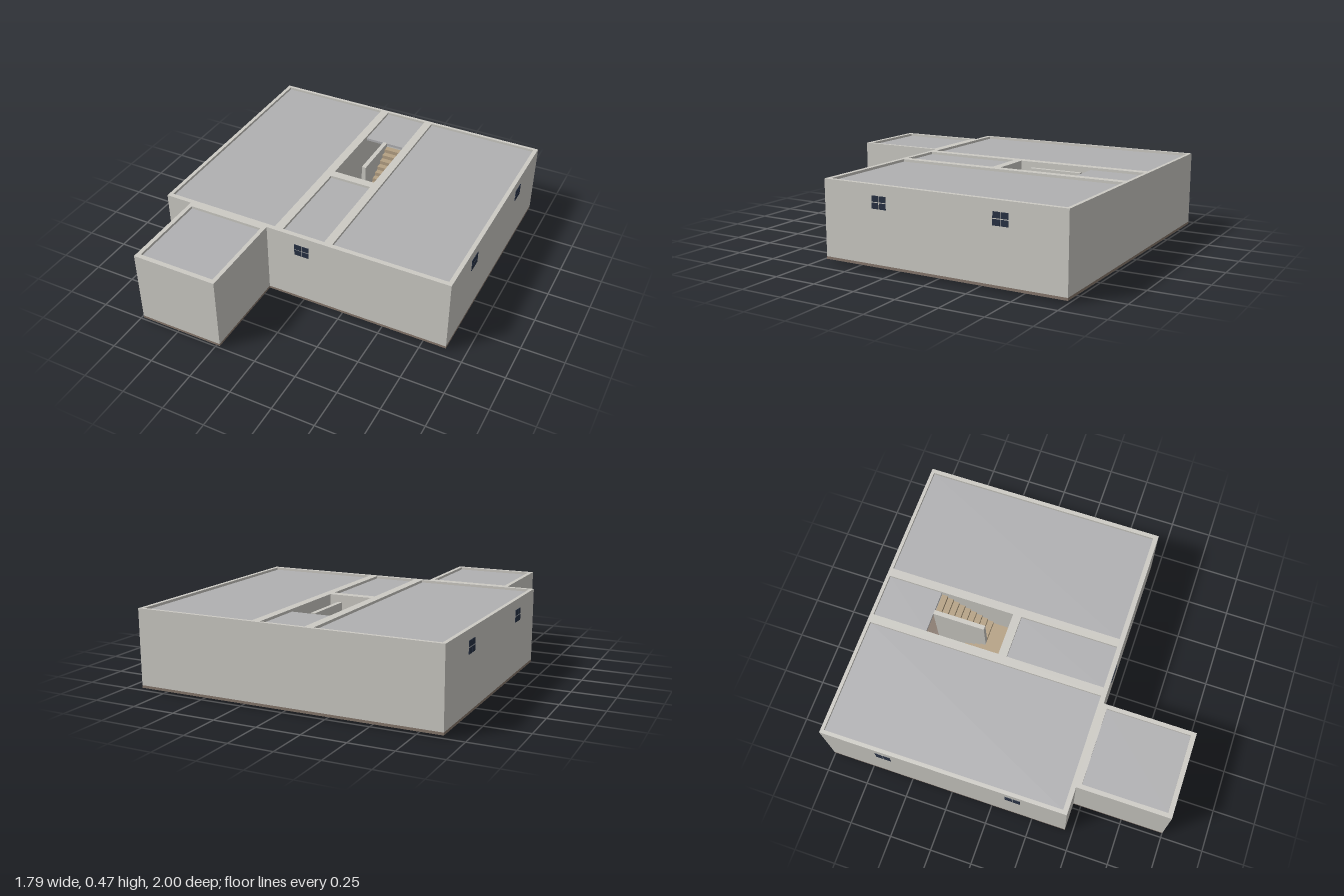
import * as THREE from 'three';

const mat = (color) => new THREE.MeshStandardMaterial({ color });
const wallMat = mat(0xcccac4);
const roofMat = mat(0xb0b0b2);
const slabMat = mat(0x86776c);
const stairMat = mat(0xb4a083);
const glassMat = mat(0x263043);

// Box given by its min and max corners
function box(name, material, [x0, x1], [y0, y1], [z0, z1]) {
  const mesh = new THREE.Mesh(new THREE.BoxGeometry(x1 - x0, y1 - y0, z1 - z0), material);
  mesh.position.set((x0 + x1) / 2, (y0 + y1) / 2, (z0 + z1) / 2);
  mesh.name = name;
  return mesh;
}

// Floor plan outline (x, z): main block with the front annex
const outline = [
  [-0.89, -1], [0.89, -1], [0.89, 0.455], [-0.22, 0.455],
  [-0.22, 1], [-0.727, 1], [-0.727, 0.455], [-0.89, 0.455],
];
const rect = ([x0, x1, z0, z1]) => [[x0, z0], [x1, z0], [x1, z1], [x0, z1]];

// Extrudes a plan with rectangular holes between two heights
function planSolid(name, material, holes, y0, y1) {
  const toPoints = (list) => list.map(([x, z]) => new THREE.Vector2(x, z));
  const shape = new THREE.Shape(toPoints(outline));
  for (const h of holes) shape.holes.push(new THREE.Path(toPoints(rect(h))));
  const geo = new THREE.ExtrudeGeometry(shape, { depth: y1 - y0, bevelEnabled: false });
  geo.rotateX(Math.PI / 2).translate(0, y1, 0);
  const mesh = new THREE.Mesh(geo, material);
  mesh.name = name;
  return mesh;
}

// Four-pane window facing +z, with a pale frame and cross
function makeWindow(name, x, z, turn) {
  const g = new THREE.Group();
  g.name = name;
  g.add(box('windowFrame', wallMat, [-0.042, 0.042], [-0.033, 0.033], [-0.004, 0.001]));
  for (const sx of [-1, 1]) for (const sy of [-1, 1]) {
    const pane = box('windowPane', glassMat, [-0.021, 0.021], [-0.0165, 0.0165], [-0.004, 0.003]);
    pane.position.x = sx * 0.0235;
    pane.position.y = sy * 0.019;
    g.add(pane);
  }
  g.position.set(x, 0.37, z);
  g.rotation.y = turn;
  return g;
}

export function createModel() {
  const model = new THREE.Group();
  model.name = 'building';

  // Rooms as [x0, x1, z0, z1]
  const leftRoom = [0.18, 0.865, -0.98, 0.427];
  const rightRoom = [-0.868, -0.182, -0.98, 0.427];
  const hall = [-0.13, 0.13, -0.98, -0.208];
  const frontHall = [-0.13, 0.13, -0.157, 0.427];
  const annex = [-0.702, -0.244, 0.481, 0.972];

  // Floor slab with the stairwell opening, and the walls
  model.add(planSolid('floorSlab', slabMat, [[-0.175, 0.175, -0.66, -0.21]], 0.015, 0.03));
  model.add(planSolid('walls', wallMat, [leftRoom, rightRoom, hall, frontHall, annex], 0.03, 0.465));

  // Roof panels set just below the wall tops; the stairwell stays open
  const panels = {
    leftRoof: leftRoom, rightRoof: rightRoom, frontHallRoof: frontHall, annexRoof: annex,
    backHallRoof: [-0.13, 0.13, -0.98, -0.654],
  };
  for (const [name, [x0, x1, z0, z1]] of Object.entries(panels)) {
    model.add(box(name, roofMat, [x0, x1], [0.435, 0.45], [z0, z1]));
  }

  // Two-flight staircase turning on a landing
  const stairs = new THREE.Group();
  stairs.name = 'staircase';
  const steps = 9, rise = 0.0225, run = 0.0348, zBack = -0.653, zLanding = zBack + steps * run;
  for (let i = 0; i < steps; i++) {
    const zLow = zBack + i * run;
    stairs.add(box('lowerStep', stairMat, [-0.155, -0.013], [i * rise, (i + 1) * rise], [zLow, zLow + run]));
    const zUp = zLanding - i * run, y = (steps + 1 + i) * rise;
    stairs.add(box('upperStep', stairMat, [0.013, 0.131], [y, y + rise], [zUp - run, zUp]));
  }
  stairs.add(box('landing', stairMat, [-0.131, 0.131], [steps * rise, (steps + 1) * rise], [zLanding, -0.207]));
  stairs.add(box('stairDivider', wallMat, [-0.013, 0.013], [0.02, 0.455], [zBack, zLanding]));
  model.add(stairs);

  // Windows
  model.add(makeWindow('frontWindow', 0, 0.455, 0));
  for (const z of [0.097, -0.632]) model.add(makeWindow('leftWindow', 0.89, z, Math.PI / 2));
  for (const z of [0.14, -0.632]) model.add(makeWindow('rightWindow', -0.89, z, -Math.PI / 2));

  return model;
}
